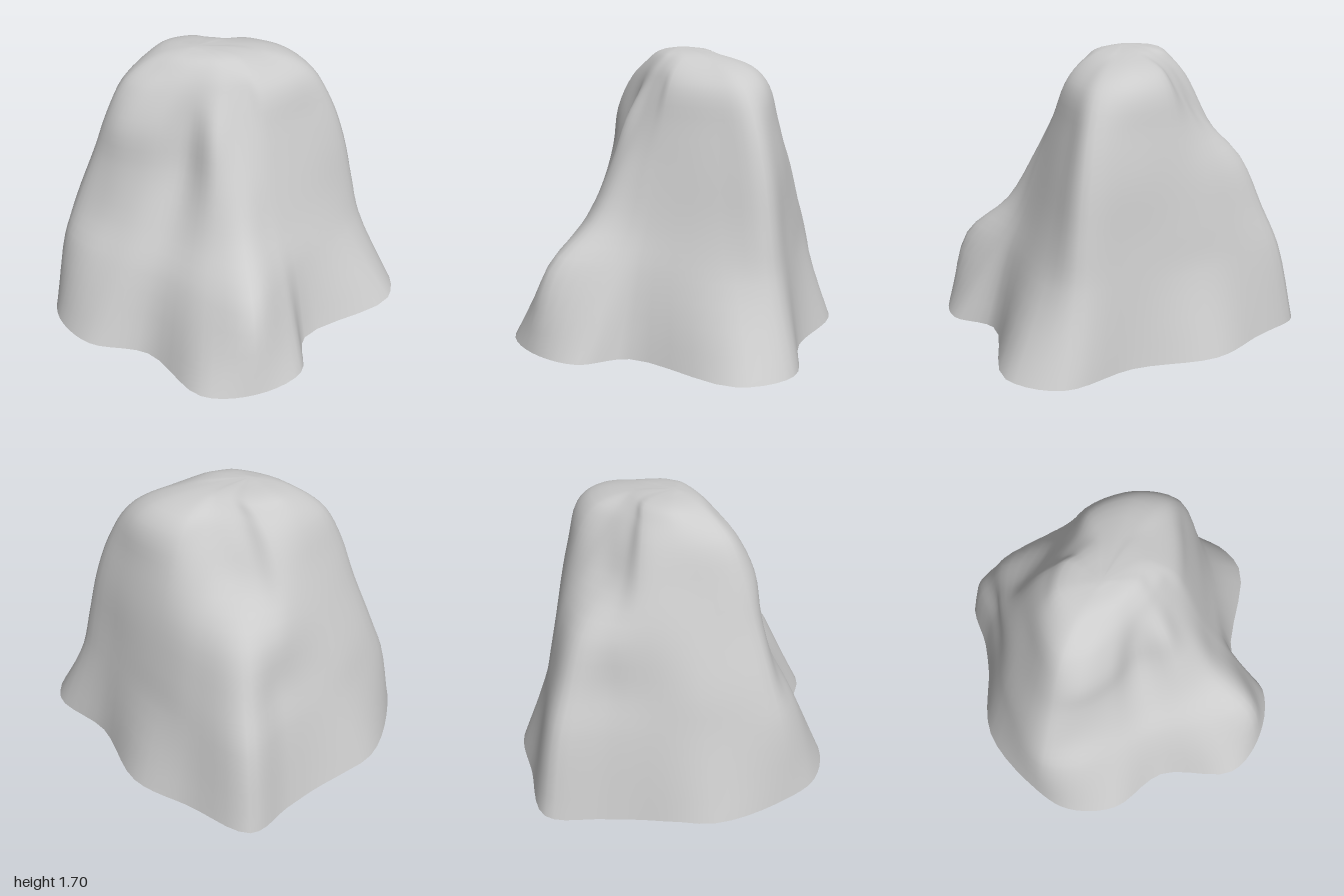
import * as THREE from 'three';

// Directions (degrees, from +x towards +z) of the lobes and gullies of the hill.
const ANGLES = [20, 32, 48, 64, 87, 107, 123, 136, 163, 190, 203, 219, 241, 267, 303, 324, 342];
const CENTRE = { x: -0.05, z: -0.1 };

// Contours: height, then the radius along each direction.
const CONTOURS = [
  [0.04, .82, 1.05, 1.14, 1.14, .90, 1.06, 1.11, 1.07, 1.0, .87, .90, 1.045, .86, .82, .774, 1.074, 1.10],
  [0.50, .71, .80, 1.01, .88, .75, .84, .96, .99, .85, .77, .80, .94, .745, .65, .70, .88, .81],
  [0.75, .61, .64, .73, .68, .60, .70, .81, .90, .78, .70, .72, .83, .68, .60, .66, .82, .71],
  [1.05, .51, .52, .55, .54, .45, .58, .71, .78, .67, .64, .66, .69, .59, .54, .62, .75, .62],
  [1.30, .43, .42, .42, .45, .39, .53, .66, .69, .57, .53, .47, .43, .44, .47, .56, .66, .53],
  [1.50, .36, .33, .32, .33, .34, .43, .54, .59, .49, .42, .34, .31, .31, .40, .50, .54, .45],
  [1.60, .28, .27, .26, .27, .29, .35, .42, .48, .42, .33, .26, .23, .23, .31, .39, .39, .32],
  [1.67, .16, .17, .18, .20, .22, .26, .31, .34, .33, .23, .16, .13, .11, .10, .11, .12, .14],
];
const SUMMIT = new THREE.Vector3(-0.14, 1.7, 0.03);

const AROUND = ANGLES.length * 5;
const UP = CONTOURS.length * 4;

// Smooth closed contour sampled at AROUND points.
function contourPoints([y, ...radii]) {
  const corners = radii.map((r, i) => {
    const a = THREE.MathUtils.degToRad(ANGLES[i]);
    return new THREE.Vector3(CENTRE.x + r * Math.cos(a), y, CENTRE.z + r * Math.sin(a));
  });
  return new THREE.CatmullRomCurve3(corners, true).getPoints(AROUND).slice(0, AROUND);
}

function hillGeometry() {
  const rings = CONTOURS.map(contourPoints);

  // The rim sags slightly along the right-hand edge.
  for (const p of rings[0]) {
    if (p.x < -0.7 && p.z < 0 && p.z > -0.84) {
      p.y -= 0.04 * Math.sin(Math.PI * -p.z / 0.84);
    }
  }

  // Rising curves from the rim to the summit.
  const meridians = rings[0].map((_, i) =>
    new THREE.CatmullRomCurve3([...rings.map((ring) => ring[i]), SUMMIT]).getPoints(UP));

  const positions = [];
  for (let j = 0; j < UP; j++) {
    for (const line of meridians) positions.push(line[j].x, line[j].y, line[j].z);
  }
  const apex = positions.length / 3;
  positions.push(SUMMIT.x, SUMMIT.y, SUMMIT.z);

  const index = [];
  for (let j = 0; j < UP; j++) {
    for (let i = 0; i < AROUND; i++) {
      const next = (i + 1) % AROUND;
      const a = j * AROUND + i;
      const b = j * AROUND + next;
      if (j === UP - 1) {
        index.push(a, apex, b);
      } else {
        const c = a + AROUND;
        const d = b + AROUND;
        index.push(a, c, b, b, c, d);
      }
    }
  }

  const geometry = new THREE.BufferGeometry();
  geometry.setAttribute('position', new THREE.Float32BufferAttribute(positions, 3));
  geometry.setIndex(index);
  geometry.computeVertexNormals();
  return geometry;
}

export function createModel() {
  const group = new THREE.Group();
  group.name = 'rockHill';

  // Hollow rock shell, open underneath.
  const material = new THREE.MeshStandardMaterial({ color: 0xcccccc, side: THREE.DoubleSide });
  const shell = new THREE.Mesh(hillGeometry(), material);
  shell.name = 'rockShell';
  group.add(shell);
  return group;
}
